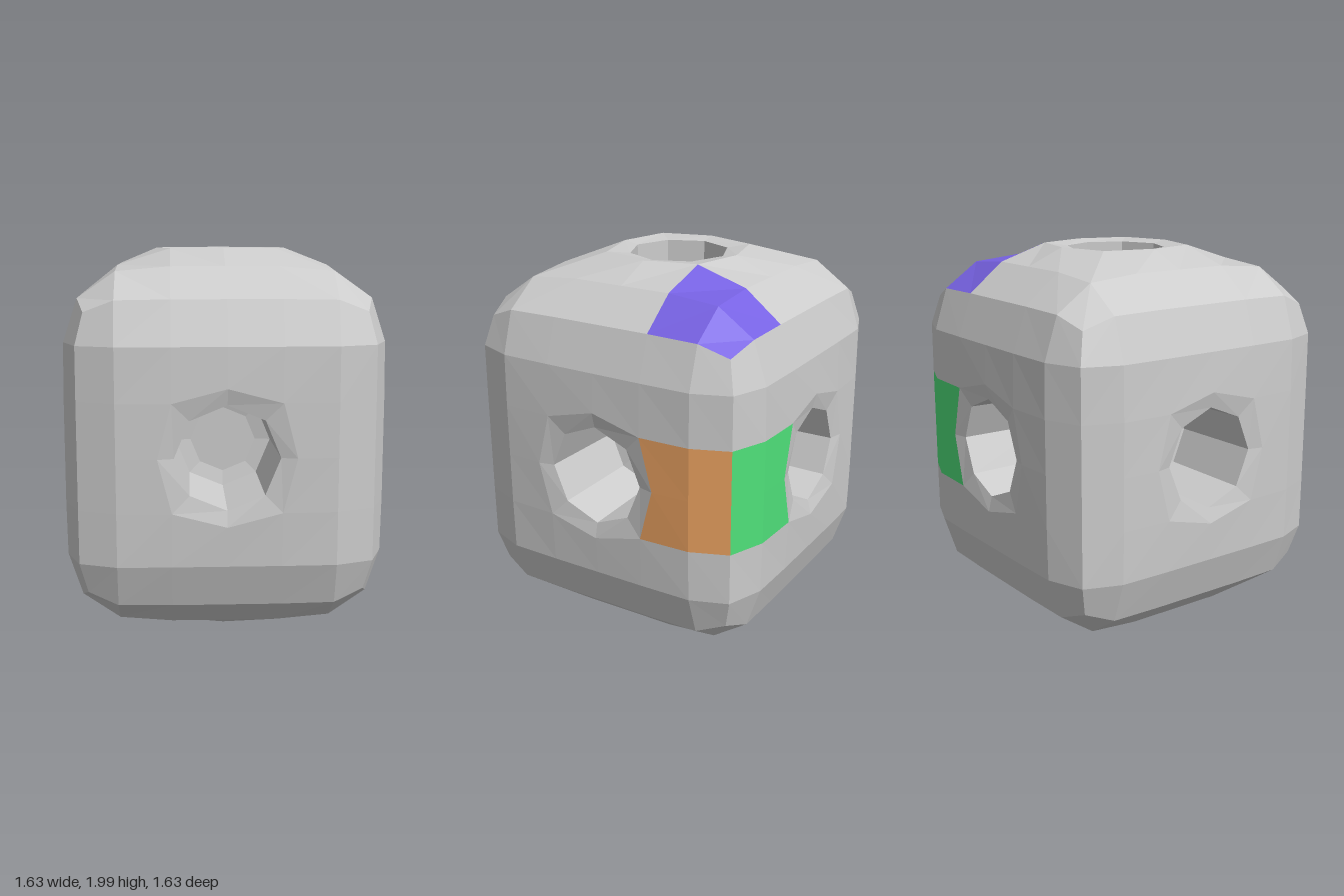
import * as THREE from 'three';

const STEP = [0, 0.27, 0.54];                 // lattice line positions inside a face
const HALF = [0.815, 1, 0.815];               // half extents, x y z
const SIDE = { drop: [0, 0, 0.01, 0.085], p: 1.8 };
const CAP = { drop: [0, 0.005, 0.09, 0.24], p: 3 };
const ROUND = [SIDE, CAP, SIDE];              // how far each face falls away towards its rim
const NAMES = [['leftFace', 'rightFace'], ['topFace', 'bottomFace'], ['frontFace', 'backFace']];

// Position of a point on the rounded cube lattice, each index from -3 to 3
function latticePoint(L) {
  const p = L.map((value, k) => {
    const a = Math.abs(value), b = Math.abs(L[(k + 1) % 3]), c = Math.abs(L[(k + 2) % 3]);
    if (a === 3) {
      const { drop, p: power } = ROUND[k];
      const fall = Math.pow(drop[b] ** power + drop[c] ** power, 1 / power);
      return Math.sign(value) * (HALF[k] - fall);
    }
    // the ring around each hole bulges out at its middle points
    const size = a === 1 && b * c === 0 ? 0.34 : STEP[a];
    return Math.sign(value) * size;
  });
  return new THREE.Vector3(...p);
}

function meshFromQuads(name, quads, color, flip) {
  const points = [];
  for (const [a, b, c, d] of quads) {
    const corners = flip ? [a, d, c, a, c, b] : [a, b, c, a, c, d];
    corners.forEach((v) => points.push(v.x, v.y, v.z));
  }
  const geometry = new THREE.BufferGeometry();
  geometry.setAttribute('position', new THREE.Float32BufferAttribute(points, 3));
  geometry.computeVertexNormals();
  const material = new THREE.MeshStandardMaterial({ color, flatShading: true, side: THREE.DoubleSide });
  const mesh = new THREE.Mesh(geometry, material);
  mesh.name = name;
  return mesh;
}

// Coloured panels: face axis and sign, then cell ranges along the two following axes
const PANELS = [
  { name: 'purplePanel', color: 0x7762e3, n: 1, s: 1, u: [-3, -1], v: [1, 3] },
  { name: 'orangePanel', color: 0xe8a060, n: 0, s: 1, u: [-1, 1], v: [-3, -1] },
  { name: 'greenPanel', color: 0x4fe07a, n: 2, s: -1, u: [1, 3], v: [-1, 1] },
];

function addFace(group, n, s) {
  const u = (n + 1) % 3, v = (n + 2) % 3, flip = s < 0;
  const at = (i, j) => {
    const L = [0, 0, 0];
    L[n] = 3 * s; L[u] = i; L[v] = j;
    return latticePoint(L);
  };
  const octagon = (radius, depth) => Array.from({ length: 8 }, (_, k) => {
    const p = new THREE.Vector3(), angle = (k * Math.PI) / 4;
    p.setComponent(n, s * depth);
    p.setComponent(u, radius * Math.cos(angle));
    p.setComponent(v, radius * Math.sin(angle));
    return p;
  });
  const bridge = (outer, inner) => outer.map((p, k) => {
    const m = (k + 1) % 8;
    return [p, outer[m], inner[m], inner[k]];
  });

  // Outer cells, sorted into the grey skin and any coloured panel
  const panel = PANELS.find((q) => q.n === n && q.s === s);
  const skin = [], coloured = [];
  for (let i = -3; i < 3; i++) for (let j = -3; j < 3; j++) {
    if (i >= -1 && i < 1 && j >= -1 && j < 1) continue;
    const inPanel = panel && i >= panel.u[0] && i < panel.u[1] && j >= panel.v[0] && j < panel.v[1];
    (inPanel ? coloured : skin).push([at(i, j), at(i + 1, j), at(i + 1, j + 1), at(i, j + 1)]);
  }

  // Ring of cells leading to the octagonal hole
  const ring = [[1, 0], [1, 1], [0, 1], [-1, 1], [-1, 0], [-1, -1], [0, -1], [1, -1]].map(([i, j]) => at(i, j));
  const rim = octagon(0.26, HALF[n] - 0.02);
  skin.push(...bridge(ring, rim));
  group.add(meshFromQuads(NAMES[n][s > 0 ? 0 : 1], skin, 0xcccccc, flip));
  if (panel) group.add(meshFromQuads(panel.name, coloured, panel.color, flip));

  // Vertical shaft meets in the middle; side holes end in a shallow dished floor
  const through = n === 1;
  const bottom = octagon(0.248, through ? 0 : 0.3);
  const hole = bridge(rim, bottom);
  if (!through) {
    const dish = octagon(0.17, 0.285);
    hole.push(...bridge(bottom, dish));
    for (const k of [0, 2, 4]) hole.push([dish[0], dish[k + 1], dish[k + 2], dish[(k + 3) % 8]]);
  }
  group.add(meshFromQuads(through ? 'shaftWall' : 'holeWall', hole, 0xcccccc, flip));
}

export function createModel() {
  const group = new THREE.Group();
  group.name = 'roundedCube';
  const body = new THREE.Group();
  body.name = 'body';
  for (let n = 0; n < 3; n++) for (const s of [1, -1]) addFace(body, n, s);
  body.position.y = 1;
  group.add(body);
  return group;
}
